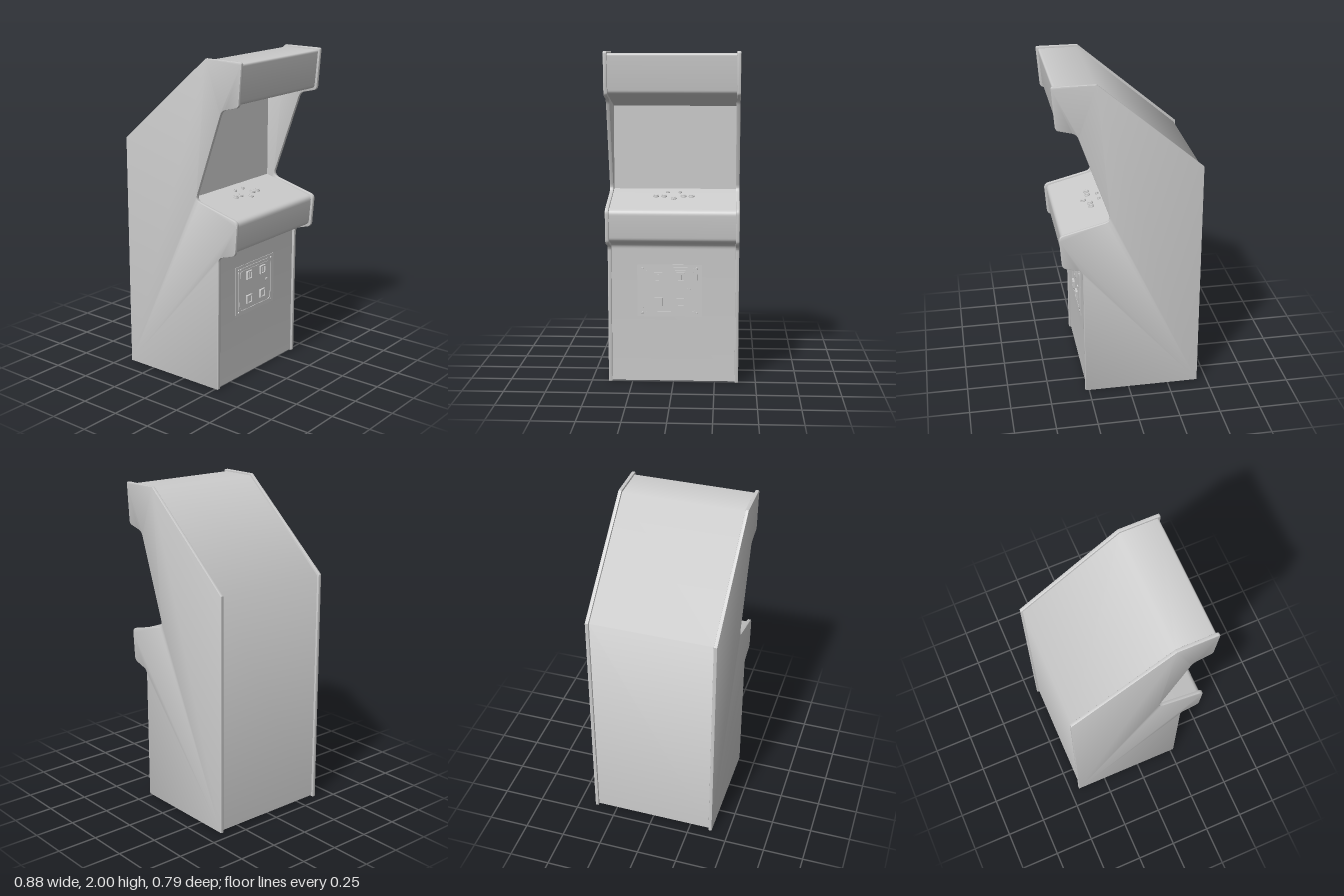
import * as THREE from 'three';
import { toCreasedNormals } from 'three/addons/utils/BufferGeometryUtils.js';

const grey = new THREE.MeshStandardMaterial({ color: 0xcccccc, side: THREE.DoubleSide });

function add(parent, name, geometry, x = 0, y = 0, z = 0) {
  const mesh = new THREE.Mesh(geometry, grey);
  mesh.name = name;
  mesh.position.set(x, y, z);
  parent.add(mesh);
  return mesh;
}

// Turns [x, y, radius] corners into a polyline with rounded corners.
function roundCorners(corners) {
  const n = corners.length;
  const out = [];
  corners.forEach(([x, y, r], i) => {
    const p = new THREE.Vector2(x, y);
    if (!r) return out.push(p);
    const [a, b] = [corners[(i + n - 1) % n], corners[(i + 1) % n]]
      .map((c) => new THREE.Vector2(c[0], c[1]).sub(p).setLength(r).add(p));
    out.push(...new THREE.QuadraticBezierCurve(a, p, b).getPoints(6));
  });
  return out;
}

function roundedRect(w, h, r) {
  const x = w / 2, y = h / 2;
  return roundCorners([[-x, -y, r], [x, -y, r], [x, y, r], [-x, y, r]]);
}

function plate(points, depth, hole) {
  const shape = new THREE.Shape(points);
  if (hole) shape.holes.push(new THREE.Path(hole));
  return new THREE.ExtrudeGeometry(shape, { depth, bevelEnabled: false });
}

// Open sheet swept across the cabinet; gentle bends are smooth, tight ones sharp.
function sheet(points, halfWidth) {
  const normals = [];
  for (let i = 0; i + 1 < points.length; i++) {
    const d = points[i + 1].clone().sub(points[i]).normalize();
    normals.push(new THREE.Vector2(d.y, -d.x));
  }
  const blend = (n, other) =>
    other && n.dot(other) > 0.55 ? n.clone().add(other).normalize() : n;
  const position = [], normal = [], index = [];
  normals.forEach((n, i) => {
    const ends = [[points[i], blend(n, normals[i - 1])], [points[i + 1], blend(n, normals[i + 1])]];
    for (const [p, m] of ends) {
      for (const z of [halfWidth, -halfWidth]) {
        position.push(p.x, p.y, z);
        normal.push(m.x, m.y, 0);
      }
    }
    const k = i * 4;
    index.push(k, k + 1, k + 2, k + 1, k + 3, k + 2);
  });
  const g = new THREE.BufferGeometry();
  g.setAttribute('position', new THREE.Float32BufferAttribute(position, 3));
  g.setAttribute('normal', new THREE.Float32BufferAttribute(normal, 3));
  g.setIndex(index);
  return g;
}

function createCoinDoor() {
  const door = new THREE.Group();
  door.name = 'coinDoor';
  add(door, 'doorPlate', plate(roundedRect(0.39, 0.32, 0.004), 0.004));
  add(door, 'doorFrame', plate(roundedRect(0.34, 0.285, 0.04), 0.008, roundedRect(0.314, 0.26, 0.03)));
  add(door, 'doorPanel', plate(roundedRect(0.302, 0.248, 0.026), 0.007));

  // Coin slots above, return cups below
  for (const x of [-0.067, 0.067]) {
    for (const y of [0.085, -0.07]) {
      const upper = y > 0;
      const name = upper ? 'coinSlot' : 'coinReturn';
      add(door, name, plate(roundedRect(0.052, 0.055, 0.004), 0.02, roundedRect(0.036, 0.039, 0.003)), x, y);
      add(door, name + 'Insert', new THREE.BoxGeometry(0.036, 0.039, 0.004), x, y, 0.009);
      if (upper) add(door, 'coinSlotBlade', new THREE.BoxGeometry(0.008, 0.03, 0.006), x, y, 0.013);
    }
  }

  // Lock and corner bolts
  const lock = add(door, 'lock', new THREE.CylinderGeometry(0.011, 0.011, 0.008, 16), 0.115, 0.008, 0.009);
  lock.rotation.x = Math.PI / 2;
  for (const x of [-0.163, 0.163]) {
    for (const y of [-0.137, 0.137]) {
      const bolt = add(door, 'bolt', new THREE.CylinderGeometry(0.006, 0.008, 0.005, 12), x, y, 0.006);
      bolt.rotation.x = Math.PI / 2;
    }
  }
  door.position.set(0.262, 0.57, 0.023);
  door.rotation.y = Math.PI / 2;
  return door;
}

function createControls() {
  const controls = new THREE.Group();
  controls.name = 'controls';
  // Distance down the panel, sideways place, radius
  const buttons = [
    [0.065, 0.04, 0.011], [0.065, -0.035, 0.011],
    [0.125, 0.108, 0.018], [0.125, 0.06, 0.018], [0.16, 0, 0.018],
    [0.125, -0.058, 0.018], [0.125, -0.105, 0.018],
  ];
  for (const [u, z, r] of buttons) {
    const collar = [[r, 0], [r, 0.005], [r * 0.9, 0.008], [r * 0.7, 0.008], [r * 0.65, 0.004]]
      .map(([x, y]) => new THREE.Vector2(x, y));
    add(controls, 'buttonCollar', new THREE.LatheGeometry(collar, 20), u, 0, z);
    add(controls, 'button', new THREE.CylinderGeometry(r * 0.6, r * 0.65, 0.01, 20), u, 0.005, z);
  }
  controls.position.set(0.06, 1.165, 0);
  controls.rotation.z = -Math.atan2(0.09, 0.342);
  return controls;
}

export function createModel() {
  const cabinet = new THREE.Group();
  cabinet.name = 'arcadeCabinet';

  // Side panels with softened edges
  const outline = roundCorners([
    [-0.44, 0, 0], [0.275, 0, 0.01], [0.278, 0.843, 0.03], [0.4, 0.878, 0.025],
    [0.416, 1.084, 0.03], [0.106, 1.163, 0.04], [0.301, 1.717, 0.03], [0.42, 1.746, 0.02],
    [0.44, 2, 0.015], [0.185, 2, 0], [-0.44, 1.467, 0],
  ]);
  const bevel = 0.004;
  const side = toCreasedNormals(new THREE.ExtrudeGeometry(new THREE.Shape(outline), {
    depth: 0.022 - 2 * bevel, bevelThickness: bevel, bevelSize: bevel, bevelOffset: -bevel, bevelSegments: 2,
  }), 0.5);
  add(cabinet, 'leftSidePanel', side, 0, 0, 0.373 + bevel);
  add(cabinet, 'rightSidePanel', side, 0, 0, -0.395 + bevel);

  // Body sheet: front, control panel, recessed screen, hood, top and back; open below
  const body = roundCorners([
    [0.262, 0.008, 0], [0.263, 0.855, 0.03], [0.386, 0.89, 0.025], [0.402, 1.075, 0.03],
    [0.06, 1.165, 0], [0.06, 1.672, 0], [0.406, 1.758, 0.02], [0.427, 1.988, 0.015],
    [0.19, 1.988, 0], [-0.427, 1.461, 0], [-0.427, 0.008, 0],
  ]);
  add(cabinet, 'body', sheet(body, 0.374));

  cabinet.add(createCoinDoor(), createControls());
  return cabinet;
}
